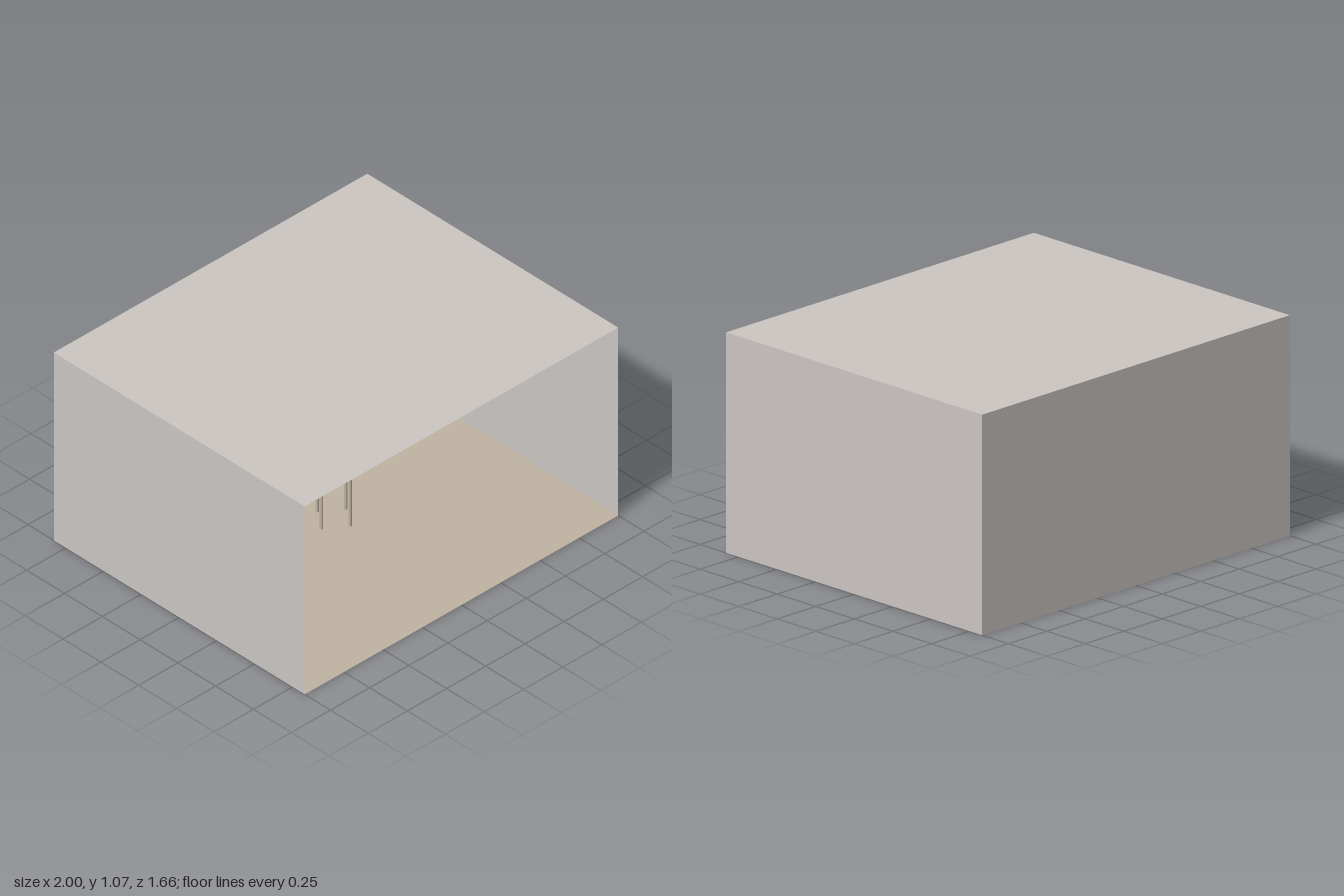
import * as THREE from 'three';

const W = 2, H = 1.07, D = 1.66;

function material(name, color, side = THREE.FrontSide) {
  const m = new THREE.MeshStandardMaterial({ color, side });
  m.name = name;
  return m;
}

export function createModel() {
  const model = new THREE.Group();
  model.name = 'openRoom';

  const plaster = material('warm grey plaster', 0xcbc6c2, THREE.DoubleSide);
  const tan = material('tan', 0xc0b4a2, THREE.DoubleSide);

  const add = (parent, name, geometry, mat, x, y, z) => {
    const mesh = new THREE.Mesh(geometry, mat);
    mesh.name = name;
    mesh.position.set(x, y, z);
    parent.add(mesh);
    return mesh;
  };

  // Thin room shell, open at the front
  const room = new THREE.Group();
  room.name = 'room';
  model.add(room);
  const slab = new THREE.PlaneGeometry(W, D).rotateX(-Math.PI / 2);
  add(room, 'floor', slab, tan, 0, 0, 0);
  add(room, 'ceiling', slab, plaster, 0, H, 0);
  add(room, 'backWall', new THREE.PlaneGeometry(W, H), plaster, 0, H / 2, -D / 2);
  const sideWall = new THREE.PlaneGeometry(D, H).rotateY(Math.PI / 2);
  add(room, 'leftWall', sideWall, plaster, W / 2, H / 2, 0);
  add(room, 'rightWall', sideWall, plaster, -W / 2, H / 2, 0);

  // Small square table
  const table = new THREE.Group();
  table.name = 'table';
  table.position.set(0.042, 0, -0.06);
  model.add(table);
  const topY = 0.357, topThick = 0.012, topSize = 0.253;
  add(table, 'tableTop', new THREE.BoxGeometry(topSize, topThick, topSize), plaster, 0, topY - topThick / 2, 0);

  // Four round legs on a ring turned against the top
  const legHeight = topY - topThick;
  const legGeometry = new THREE.CylinderGeometry(0.008, 0.008, legHeight, 16);
  const ring = 0.094, turn = 0.17;
  for (let i = 0; i < 4; i++) {
    const a = turn + i * Math.PI / 2;
    add(table, 'tableLeg', legGeometry, tan, ring * Math.cos(a), legHeight / 2, -ring * Math.sin(a));
  }

  return model;
}
